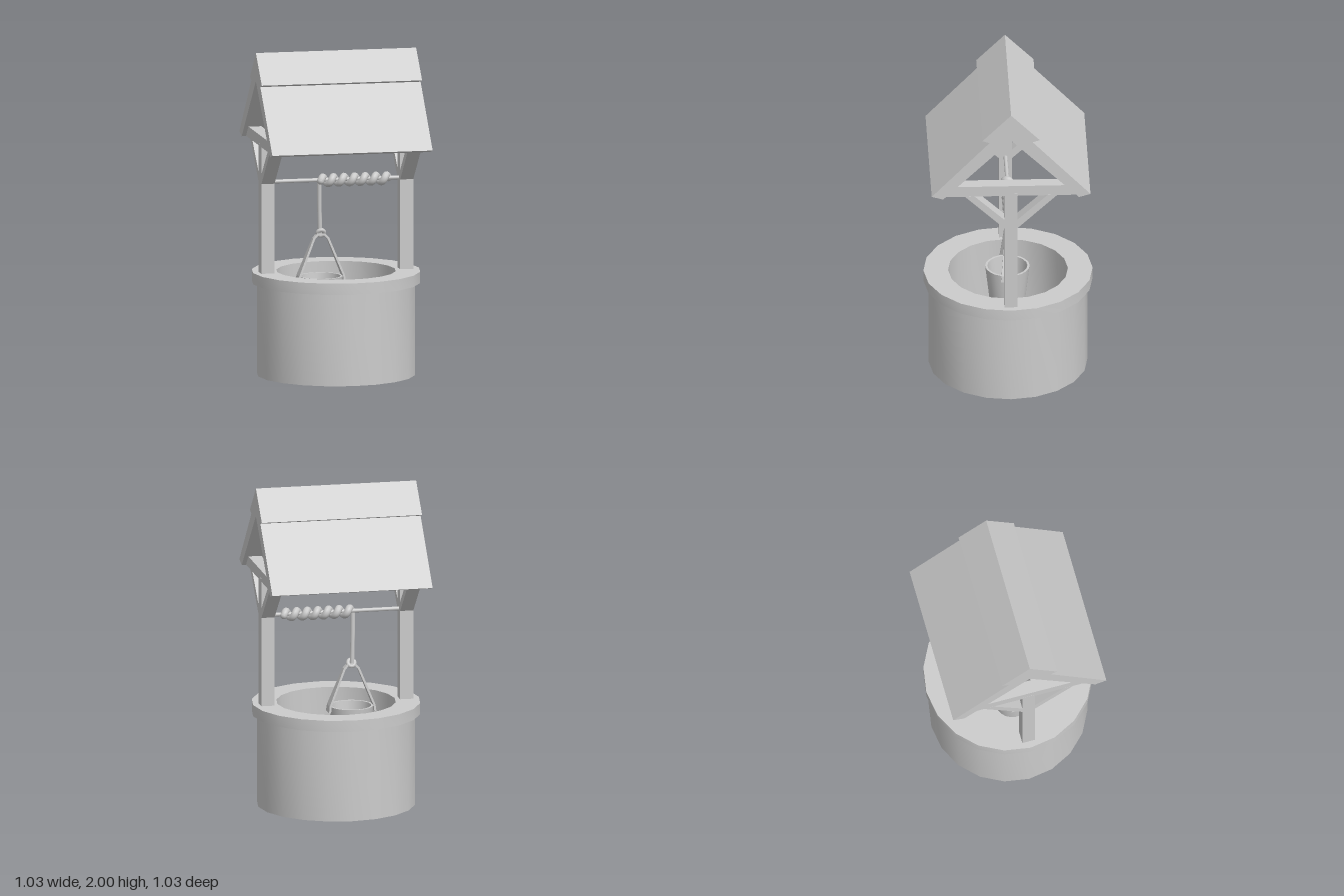
import * as THREE from 'three';
import { toCreasedNormals } from 'three/addons/utils/BufferGeometryUtils.js';

const SIDES = 20;
const BUCKET_X = -0.095;
const POST_X = 0.433, POST_W = 0.083;

const material = new THREE.MeshStandardMaterial({ color: 0xcccccc });

export function createModel() {
  const model = new THREE.Group();
  model.name = 'wishingWell';

  const add = (name, geometry, x = 0, y = 0, z = 0, parent = model) => {
    const mesh = new THREE.Mesh(geometry, material);
    mesh.name = name;
    mesh.position.set(x, y, z);
    parent.add(mesh);
    return mesh;
  };

  // Turned part from [radius, y] points, listed from bottom outside upwards
  const lathe = (points, sides = SIDES) => toCreasedNormals(
    new THREE.LatheGeometry(points.map(([r, y]) => new THREE.Vector2(r, y)), sides), 0.6);

  // Outline in [z, y], extruded along x and centred on x = 0
  const slab = (points, width) => {
    const shape = new THREE.Shape(points.map(([z, y]) => new THREE.Vector2(-z, y)));
    return new THREE.ExtrudeGeometry(shape, { depth: width, bevelEnabled: false })
      .translate(0, 0, -width / 2).rotateY(Math.PI / 2);
  };

  // Stone wall with floor, overhanging rim and hollow shaft
  add('wellWall', lathe([
    [0, 0], [0.485, 0], [0.485, 0.57], [0.517, 0.57], [0.517, 0.64],
    [0.366, 0.64], [0.366, 0.05], [0, 0.05],
  ]));

  // Roof: two thick slopes with a stepped ridge cap
  const half = [[0.175, 1.825], [0.132, 1.81], [0.485, 1.44], [0.415, 1.42]];
  const mirrored = half.map(([z, y]) => [-z, y]).reverse();
  add('roof', slab([[0, 2], ...half, [0, 1.825], ...mirrored], 1));

  // End frames: post, tie beam and a pair of braces on each side
  for (const side of [1, -1]) {
    const frame = new THREE.Group();
    frame.name = side > 0 ? 'leftFrame' : 'rightFrame';
    frame.position.x = side * POST_X;
    model.add(frame);
    add('post', new THREE.BoxGeometry(POST_W, 0.83, 0.08), 0, 1.025, 0, frame);
    add('tieBeam', slab([[-0.42, 1.422], [0.42, 1.422], [0.355, 1.49], [-0.355, 1.49]], POST_W - 0.002),
      0, 0, 0, frame);
    for (const s of [1, -1]) {
      const brace = [[0.035, 1.19], [0.285, 1.425], [0.225, 1.425], [0.035, 1.25]];
      add('brace', slab(brace.map(([z, y]) => [s * z, y]), POST_W - 0.001), 0, 0, 0, frame);
    }
  }

  // Axle with the rope wound round it
  add('axle', new THREE.CylinderGeometry(0.012, 0.012, 0.84, 12).rotateZ(Math.PI / 2), 0, 1.202, 0);

  class Helix extends THREE.Curve {
    getPoint(t, target = new THREE.Vector3()) {
      const a = t * Math.PI * 2 * 6.5;
      return target.set(-0.1 + 0.43 * t, 1.199 + 0.02 * Math.sin(a), 0.02 * Math.cos(a));
    }
  }
  add('ropeCoil', new THREE.TubeGeometry(new Helix(), 160, 0.023, 10));
  for (const [x, y] of [[-0.1, 1.199], [0.33, 1.199]]) {
    add('coilEnd', new THREE.SphereGeometry(0.023, 12, 8), x, y, x < 0 ? 0.02 : -0.02);
  }

  // Hanging rope and its knot
  const ropePath = new THREE.CatmullRomCurve3([
    new THREE.Vector3(-0.107, 1.2, 0.012),
    new THREE.Vector3(-0.105, 1.05, 0.006),
    new THREE.Vector3(-0.1, 0.87, 0),
  ]);
  add('rope', new THREE.TubeGeometry(ropePath, 16, 0.014, 10));
  add('knot', new THREE.TorusGeometry(0.021, 0.013, 8, 16).rotateX(0.5), BUCKET_X, 0.875, 0);

  // Bucket: tapered, hollow, with a strap handle widening towards the ends
  const bucket = new THREE.Group();
  bucket.name = 'bucket';
  bucket.position.x = BUCKET_X;
  model.add(bucket);
  add('pail', lathe([
    [0, 0.36], [0.107, 0.36], [0.136, 0.61], [0.122, 0.61], [0.096, 0.375], [0, 0.375],
  ]), 0, 0, 0, bucket);

  const strap = new THREE.Shape([
    [-0.148, 0.575], [-0.143, 0.615], [-0.05, 0.845], [-0.025, 0.872], [0.025, 0.872],
    [0.05, 0.845], [0.143, 0.615], [0.148, 0.575], [0.135, 0.575], [0.131, 0.612],
    [0.039, 0.838], [0.019, 0.86], [-0.019, 0.86], [-0.039, 0.838], [-0.131, 0.612], [-0.135, 0.575],
  ].map(([x, y]) => new THREE.Vector2(x, y)));
  const handle = new THREE.ExtrudeGeometry(strap, { depth: 1, bevelEnabled: false }).translate(0, 0, -0.5);
  const p = handle.attributes.position;
  for (let i = 0; i < p.count; i++) {
    const width = THREE.MathUtils.mapLinear(p.getY(i), 0.87, 0.575, 0.03, 0.09);
    p.setZ(i, p.getZ(i) * width);
  }
  handle.computeVertexNormals();
  add('handle', handle, 0, 0, 0, bucket);

  return model;
}
